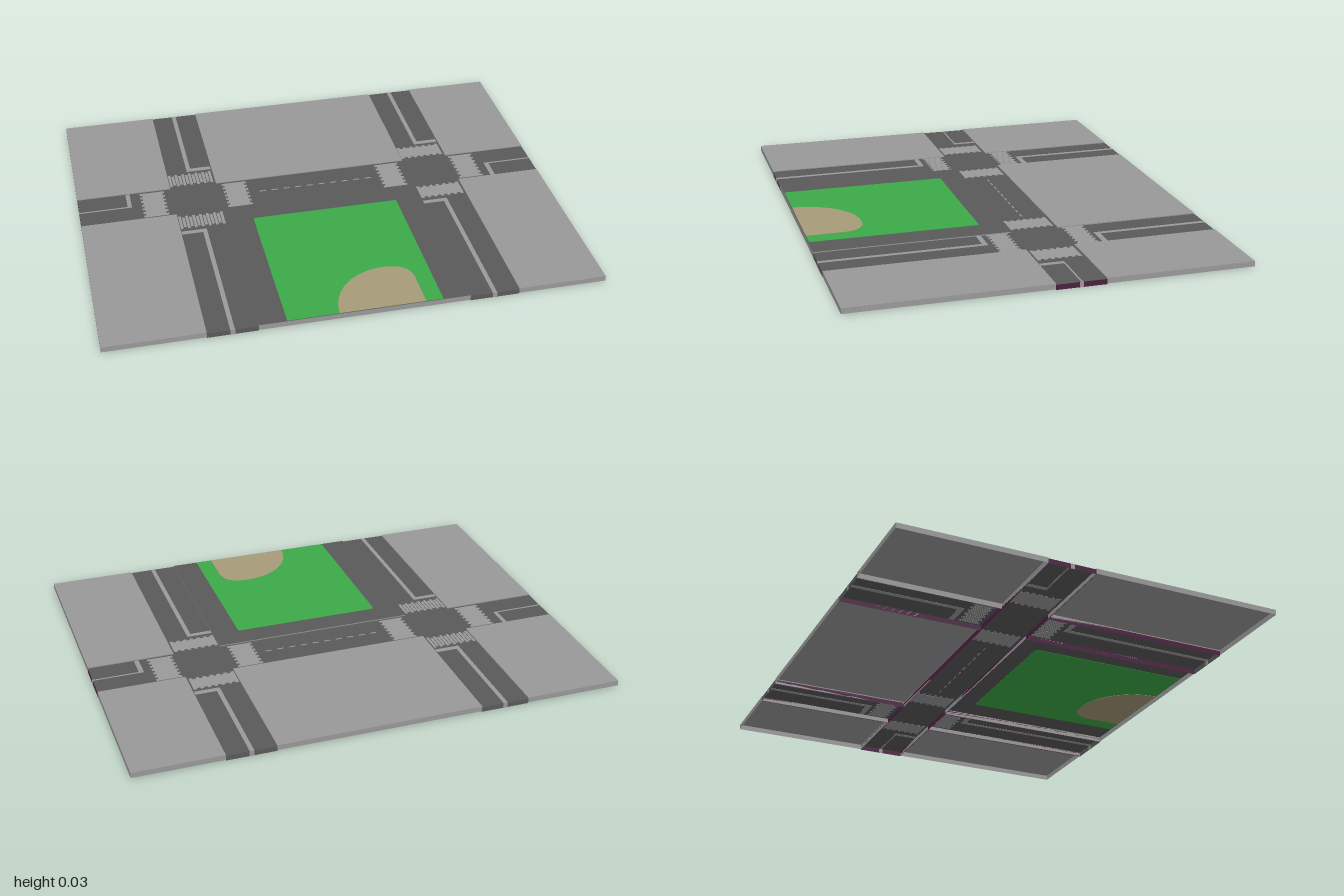
import * as THREE from 'three';

const mat = (name, color) => {
  const m = new THREE.MeshStandardMaterial({ color, side: THREE.DoubleSide });
  m.name = name;
  return m;
};

export function createModel() {
  const root = new THREE.Group();
  root.name = 'cityBlock';
  const paving = mat('pavingGrey', 0x999999);
  const asphalt = mat('asphaltGrey', 0x5a5a5a);
  const paint = mat('roadPaint', 0x9a9a9a);
  const curb = mat('curbPurple', 0x4a2040);
  const grass = mat('grassGreen', 0x3caa48);
  const sand = mat('sandTan', 0xa69c78);
  const ROAD = 0.021, TOP = 0.025;

  // Open-bottomed slab; face materials in the order +x, -x, top, (bottom), +z, -z, null leaves a face out
  function shell(name, [x0, x1, z0, z1], y0, y1, faces) {
    const g = new THREE.BoxGeometry(x1 - x0, y1 - y0, z1 - z0);
    g.translate((x0 + x1) / 2, (y0 + y1) / 2, (z0 + z1) / 2);
    const source = Array.from(g.index.array), index = [], mats = [];
    g.clearGroups();
    faces.forEach((m, i) => {
      if (!m) return;
      if (!mats.includes(m)) mats.push(m);
      g.addGroup(index.length, 6, mats.indexOf(m));
      index.push(...source.slice(i * 6, i * 6 + 6));
    });
    g.setIndex(index);
    const mesh = new THREE.Mesh(g, mats);
    mesh.name = name;
    root.add(mesh);
  }

  // Thin plate set in the surface so that it shows from above and below
  function plate(parent, name, x0, x1, z0, z1, y = ROAD, m = paint) {
    const mesh = new THREE.Mesh(new THREE.BoxGeometry(x1 - x0, 0.002, z1 - z0), m);
    mesh.position.set((x0 + x1) / 2, y, (z0 + z1) / 2);
    mesh.name = name;
    parent.add(mesh);
  }

  // Pavement blocks
  const pave = [paving, paving, paving, null, paving, paving];
  for (const [x0, x1] of [[-1, -0.6], [0.64, 1]]) {
    shell('frontPavement', [x0, x1, 0, 0.8], 0.003, TOP, pave);
    shell('backPavement', [x0, x1, -0.8, -0.2], 0.003, TOP, pave);
  }
  shell('backPavement', [-0.4, 0.44, -0.8, -0.2], 0.003, TOP, pave);
  shell('parkBlock', [-0.4, 0.44, 0, 0.8], 0.003, TOP, [paving, paving, asphalt, null, paving, paving]);

  // Main street and side roads
  shell('mainStreet', [-1, 1, -0.2, 0], 0, ROAD, [curb, curb, asphalt, null, curb, curb]);
  for (const x of [-0.6, 0.44]) {
    shell('backRoad', [x, x + 0.2, -0.8, -0.2], 0, ROAD, [curb, curb, asphalt, null, null, asphalt]);
    shell('frontRoad', [x, x + 0.2, 0, 0.8], 0, ROAD, [curb, curb, asphalt, null, asphalt, null]);
  }

  // Flat outline laid into the park surface
  function flat(name, shape, m, y, depth) {
    const g = new THREE.ExtrudeGeometry(shape, { depth, bevelEnabled: false, curveSegments: 16 });
    g.rotateX(Math.PI / 2);
    g.translate(0, y + depth / 2, 0);
    const mesh = new THREE.Mesh(g, m);
    mesh.name = name;
    root.add(mesh);
  }
  const lawn = new THREE.Shape();
  lawn.moveTo(-0.29, 0.797);
  lawn.lineTo(-0.29, 0.11);
  lawn.quadraticCurveTo(-0.29, 0.1, -0.28, 0.1);
  lawn.lineTo(0.32, 0.1);
  lawn.quadraticCurveTo(0.33, 0.1, 0.33, 0.11);
  lawn.lineTo(0.33, 0.797);
  flat('lawn', lawn, grass, TOP, 0.002);
  const pit = new THREE.Shape();
  pit.moveTo(-0.085, 0.797);
  pit.bezierCurveTo(-0.08, 0.66, 0.02, 0.55, 0.15, 0.55);
  pit.bezierCurveTo(0.225, 0.55, 0.26, 0.58, 0.26, 0.65);
  pit.lineTo(0.26, 0.797);
  flat('sandPatch', pit, sand, TOP, 0.004);

  // Main street lines, stop bars and centre dashes
  const lines = new THREE.Group();
  lines.name = 'roadLines';
  root.add(lines);
  plate(lines, 'centreLine', -1, -0.79, -0.104, -0.097);
  plate(lines, 'stopBar', -0.795, -0.777, -0.197, -0.097);
  plate(lines, 'centreLine', 0.8, 1, -0.104, -0.097);
  plate(lines, 'stopBar', 0.789, 0.809, -0.104, -0.004);
  for (let i = 0; i < 10; i++) {
    const x = -0.225 + i * 0.052;
    plate(lines, 'centreDash', x, x + 0.027, -0.103, -0.097);
  }

  // Side road lines, stop bars and line ends on the outer edge
  for (const x of [-0.5, 0.54]) {
    plate(lines, 'sideLine', x - 0.01, x + 0.008, -0.8, -0.32);
    plate(lines, 'stopBar', x + 0.008, x + 0.096, -0.343, -0.32);
    plate(lines, 'sideLine', x - 0.01, x + 0.008, 0.125, 0.8);
    plate(lines, 'stopBar', x - 0.098, x - 0.01, 0.125, 0.146);
    for (const z of [-0.8, 0.8]) {
      const end = new THREE.Mesh(new THREE.BoxGeometry(0.018, ROAD, 0.002), paint);
      end.position.set(x, ROAD / 2, z);
      end.name = 'lineEnd';
      lines.add(end);
    }
  }
  for (const x of [-1, 1]) {
    const end = new THREE.Mesh(new THREE.BoxGeometry(0.002, ROAD, 0.016), paint);
    end.position.set(x, ROAD / 2, -0.1);
    end.name = 'lineEnd';
    lines.add(end);
  }

  // Crosswalks: a row of stripes, every other one a little shorter
  function crosswalk(x0, x1, z0, z1, n, acrossX, gap) {
    const g = new THREE.Group();
    g.name = 'crosswalk';
    const start = acrossX ? x0 : z0;
    const step = ((acrossX ? x1 : z1) - start) / n;
    for (let i = 0; i < n; i++) {
      const a = start + i * step, b = a + step - gap, cut = i % 2 ? 0.01 : 0;
      if (acrossX) plate(g, 'stripe', a, b, z0 + cut, z1 - cut);
      else plate(g, 'stripe', x0 + cut, x1 - cut, a, b);
    }
    root.add(g);
  }
  for (const x of [-0.735, -0.377, 0.307, 0.65]) crosswalk(x, x + 0.106, -0.19, -0.01, 13, false, 0);
  for (const z of [-0.305, 0.015]) {
    crosswalk(-0.597, -0.405, z, z + 0.09, 13, true, 0.003);
    crosswalk(0.443, 0.632, z, z + 0.09, 13, true, 0);
  }

  return root;
}
